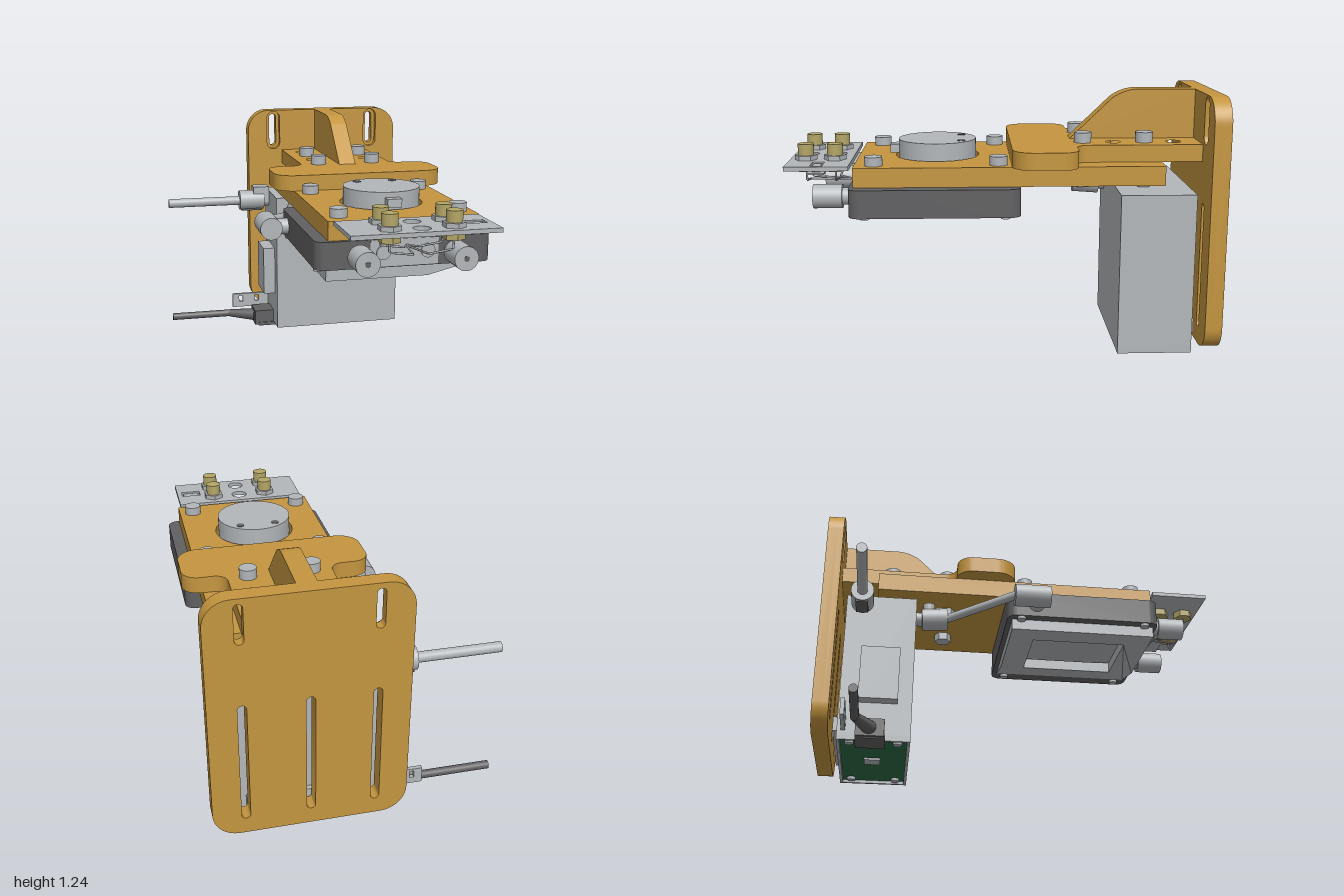
import * as THREE from 'three';
import { toCreasedNormals } from 'three/addons/utils/BufferGeometryUtils.js';

const mat = (name, color) => {
  const m = new THREE.MeshStandardMaterial({ color });
  m.name = name;
  return m;
};

export function createModel() {
  const model = new THREE.Group();
  const ochre = mat('ochre', 0xc4953f), grey = mat('grey', 0xb2b6b9), dark = mat('dark grey', 0x606062);
  const brass = mat('brass', 0xb3a566), green = mat('board green', 0x2c6a45);

  const add = (name, geo, m) => {
    const mesh = new THREE.Mesh(geo, m);
    mesh.name = name;
    model.add(mesh);
    return mesh;
  };
  // box from its extents
  const box = (name, m, x0, x1, y0, y1, z0, z1) =>
    add(name, new THREE.BoxGeometry(x1 - x0, y1 - y0, z1 - z0).translate((x0 + x1) / 2, (y0 + y1) / 2, (z0 + z1) / 2), m);
  // cylinder between two points
  const rod = (name, m, a, b, r, r2 = r, sides = 32) => {
    const p = new THREE.Vector3(...a), q = new THREE.Vector3(...b), d = q.clone().sub(p);
    const mesh = add(name, new THREE.CylinderGeometry(r2, r, d.length(), sides), m);
    mesh.position.copy(p).add(q).multiplyScalar(0.5);
    mesh.quaternion.setFromUnitVectors(new THREE.Vector3(0, 1, 0), d.normalize());
    if (sides < 10) mesh.geometry = toCreasedNormals(mesh.geometry, 0.5);
    return mesh;
  };
  // polygon whose corners [x, y, radius] are rounded
  const rounded = (pts, Type = THREE.Shape) => {
    const s = new Type();
    pts.forEach(([x, y, r = 0], i) => {
      const c = new THREE.Vector2(x, y);
      const toward = (p, d) => new THREE.Vector2(p[0], p[1]).sub(c).setLength(d).add(c);
      const a = toward(pts[(i + pts.length - 1) % pts.length], r), b = toward(pts[(i + 1) % pts.length], r);
      i ? s.lineTo(a.x, a.y) : s.moveTo(a.x, a.y);
      if (!r) return;
      const ca = a.clone().lerp(c, 0.55), cb = b.clone().lerp(c, 0.55);
      s.bezierCurveTo(ca.x, ca.y, cb.x, cb.y, b.x, b.y);
    });
    s.closePath();
    return s;
  };
  const rect = (x0, x1, y0, y1, r = 0, Type) => rounded([[x0, y0, r], [x1, y0, r], [x1, y1, r], [x0, y1, r]], Type);
  const hole = (x, y, r) => new THREE.Path().absarc(x, y, r, 0, Math.PI * 2, true);
  const slot = (x, y0, y1, r) => rect(x - r, x + r, y0, y1, r * 0.99, THREE.Path);
  const extrude = (shape, depth, holes = []) => {
    shape.holes.push(...holes);
    return toCreasedNormals(new THREE.ExtrudeGeometry(shape, { depth, bevelEnabled: false, curveSegments: 16 }), 0.5);
  };
  // horizontal slab drawn in (x, z)
  const slab = (name, m, shape, y0, y1, holes) =>
    add(name, extrude(shape, y1 - y0, holes).rotateX(Math.PI / 2).translate(0, y1, 0), m);

  // Upright mounting plate, with counterbored upper slots
  const upper = [-0.05, 0.54], lower = [-0.05, 0.245, 0.54];
  for (const [z, t, r] of [[-1, 0.05, 0.02], [-0.95, 0.03, 0.038]]) {
    add('mountingPlate', extrude(rect(-0.2, 0.69, 0.05, 1.235, 0.12), t, [
      ...upper.map((x) => slot(x, 1.025 + 0.02 - r, 1.19 + r, r)),
      ...lower.map((x) => slot(x, 0.13, 0.73, 0.02)),
    ]).translate(0, 0, z), ochre);
  }

  // Shelf and stiffening rib
  slab('shelf', ochre, rounded([[0, -0.92], [0, -0.33, 0.06], [-0.2, -0.33, 0.08], [-0.2, -0.03, 0.1],
    [0.69, -0.03, 0.1], [0.69, -0.33, 0.08], [0.49, -0.33, 0.06], [0.49, -0.92]]), 0.92, 1,
  [0.095, 0.395].flatMap((x) => [hole(x, -0.8, 0.035), hole(x, -0.515, 0.035)]));
  add('rib', extrude(rounded([[0.92, 1], [0.32, 1], [0.565, 1.235, 0.07], [0.92, 1.235]].reverse()), 0.09)
    .rotateY(Math.PI / 2).translate(0.2, 0, 0), ochre);

  // Lower carrier plate with round opening
  slab('carrierPlate', ochre, rect(-0.11, 0.6, -0.73, 0.69), 0.83, 0.92, [hole(0.245, 0.315, 0.2)]);

  // Bolts
  for (const x of [0.095, 0.395]) for (const z of [-0.37, -0.66]) {
    rod('shelfBolt', grey, [x, 1, z], [x, 1.048, z], 0.041);
    rod('shelfNut', grey, [x, 0.79, z], [x, 0.83, z], 0.045, 0.045, 6);
  }
  for (const x of [-0.04, 0.53]) for (const z of [0.03, 0.6])
    rod('carrierScrew', grey, [x, 0.92, z], [x, 0.962, z], 0.041);

  // Round hub with tab and pin holes
  rod('hub', grey, [0.245, 0.83, 0.315], [0.245, 1, 0.315], 0.185, 0.185, 64);
  box('hubTab', grey, 0.21, 0.28, 0.935, 0.975, 0.48, 0.54);
  for (const x of [0.155, 0.335]) rod('hubPin', dark, [x, 0.99, 0.2], [x, 1.002, 0.2], 0.02);

  // Dark tool body and the wedge beneath it
  slab('toolBody', dark, rect(-0.17, 0.66, -0.07, 0.71, 0.05), 0.70, 0.83);
  const wedge = extrude(rounded([[-0.12, -0.045], [0.36, -0.045], [0.58, -0.045], [0.58, 0.69], [0.36, 0.69], [-0.12, 0.69]]),
    0.055, [rect(0.0, 0.36, 0.08, 0.56, 0, THREE.Path)]).rotateX(Math.PI / 2).translate(0, 0.70, 0);
  const wp = wedge.attributes.position;
  for (let i = 0; i < wp.count; i++) if (wp.getX(i) > 0.5 && wp.getY(i) < 0.69) wp.setY(i, 0.698);
  add('wedge', toCreasedNormals(wedge, 0.2), grey);
  const dish = add('wedgeRecess', toCreasedNormals(new THREE.CylinderGeometry(0.255, 0.17, 0.03, 4, 1)
    .rotateY(Math.PI / 4).scale(1, 1, 1.33), 0.2), grey);
  dish.position.set(0.18, 0.685, 0.32);
  for (const x of [-0.145, 0.605]) for (const z of [0.0, 0.64])
    rod('footScrew', grey, [x, 0.685, z], [x, 0.7, z], 0.022);

  // Front fittings
  box('frontInset', grey, 0.08, 0.4, 0.705, 0.83, 0.7, 0.714);
  for (const x of [0.14, 0.35]) rod('frontPlug', grey, [x, 0.77, 0.7], [x, 0.77, 0.72], 0.033);
  for (const x of [0.02, 0.47]) {
    rod('fittingNeck', grey, [x, 0.765, 0.7], [x, 0.765, 0.76], 0.04);
    rod('frontFitting', grey, [x, 0.765, 0.75], [x, 0.765, 0.885], 0.056);
    rod('fittingSocket', dark, [x, 0.765, 0.88], [x, 0.765, 0.888], 0.014, 0.014, 6);
  }
  add('bracket', extrude(rounded([[0.1, 0.905], [0.1, 0.835], [0.245, 0.8], [0.39, 0.835], [0.39, 0.905]]), 0.015)
    .translate(0, 0, 0.695), grey);

  // Front terminal board, standoffs and leads
  slab('terminalBoard', grey, rect(-0.09, 0.585, 0.71, 1), 0.905, 0.925,
    [hole(0.245, 0.79, 0.04), hole(0.245, 0.925, 0.04), rect(0.46, 0.56, 0.83, 0.885, 0, THREE.Path)]);
  box('terminalChip', grey, 0.47, 0.55, 0.895, 0.92, 0.84, 0.875);
  box('terminalClip', grey, 0.43, 0.57, 0.885, 0.893, 0.82, 0.9);
  for (const x of [0.1, 0.39]) for (const z of [0.79, 0.925]) {
    rod('standoffNut', grey, [x, 0.925, z], [x, 0.947, z], 0.053, 0.053, 6);
    rod('standoff', brass, [x, 0.947, z], [x, 1, z], 0.037);
    rod('standoffBase', brass, [x, 0.872, z], [x, 0.905, z], 0.05, 0.05, 6);
    const inner = x < 0.2 ? 0.21 : 0.28;
    const path = new THREE.CurvePath();
    const pts = [[x, 0.875, z], [x, 0.825, z], [inner, 0.81, z], [0.245, 0.8, 0.72]].map((p) => new THREE.Vector3(...p));
    for (let i = 0; i < 3; i++) path.add(new THREE.LineCurve3(pts[i], pts[i + 1]));
    add('lead', new THREE.TubeGeometry(path, 24, 0.005, 6), grey);
  }

  // Side fitting with rod leading back to the controller box
  rod('sideFitting', grey, [-0.26, 0.765, -0.05], [-0.26, 0.765, 0.13], 0.056);
  rod('sideStub', grey, [-0.26, 0.765, 0.075], [-0.16, 0.765, 0.075], 0.04);
  rod('linkRod', grey, [-0.25, 0.775, -0.03], [0, 0.725, -0.4], 0.022);
  rod('rearFitting', grey, [0, 0.735, -0.37], [0, 0.725, -0.5], 0.056);
  rod('rearFittingNeck', grey, [0, 0.725, -0.49], [0, 0.725, -0.54], 0.035);
  rod('rearFittingStem', grey, [0, 0.74, -0.465], [0, 0.81, -0.465], 0.03);

  // Controller box, open at the bottom over a circuit board
  box('controllerBox', grey, -0.11, 0.6, 0.05, 0.785, -0.88, -0.53);
  slab('boxRim', grey, rect(-0.11, 0.6, -0.88, -0.53), 0.02, 0.05, [rect(-0.095, 0.585, -0.865, -0.545, 0, THREE.Path)]);
  box('circuitBoard', green, -0.095, 0.585, 0.035, 0.05, -0.865, -0.545);
  box('chip', grey, 0.2, 0.28, 0.025, 0.036, -0.75, -0.67);
  for (const x of [-0.05, 0.54]) for (const z of [-0.82, -0.59])
    rod('boardScrew', grey, [x, 0.02, z], [x, 0.036, z], 0.022);
  box('boxBackStrip', grey, -0.03, 0.52, 0.09, 0.16, -0.905, -0.88);
  box('sidePanel', grey, -0.175, -0.11, 0.21, 0.48, -0.79, -0.6);

  // Upper cable gland on the box side
  rod('upperGland', grey, [-0.28, 0.73, -0.8], [-0.14, 0.73, -0.8], 0.056);
  rod('upperGlandNeck', grey, [-0.15, 0.73, -0.8], [-0.1, 0.73, -0.8], 0.04);
  rod('upperTube', grey, [-0.69, 0.728, -0.8], [-0.27, 0.728, -0.8], 0.025);
  box('glandBlock', grey, -0.2, -0.11, 0.72, 0.81, -0.84, -0.76);
  box('glandBase', dark, -0.27, -0.15, 0.672, 0.7, -0.83, -0.77);

  // Lower plug, cable and slotted strain plate
  box('plug', dark, -0.22, -0.09, 0.005, 0.09, -0.79, -0.655);
  rod('cableBoot', dark, [-0.35, 0.047, -0.79], [-0.21, 0.047, -0.725], 0.022, 0.035);
  rod('cable', dark, [-0.69, 0.047, -0.79], [-0.34, 0.047, -0.79], 0.02);
  box('plugBase', dark, -0.2, -0.05, 0, 0.02, -0.79, -0.65);
  add('strainPlate', extrude(rect(-0.325, -0.11, 0.065, 0.145), 0.02,
    [-0.275, -0.18].map((x) => rect(x - 0.011, x + 0.011, 0.097, 0.133, 0, THREE.Path))).translate(0, 0, -0.86), grey);

  return model;
}
